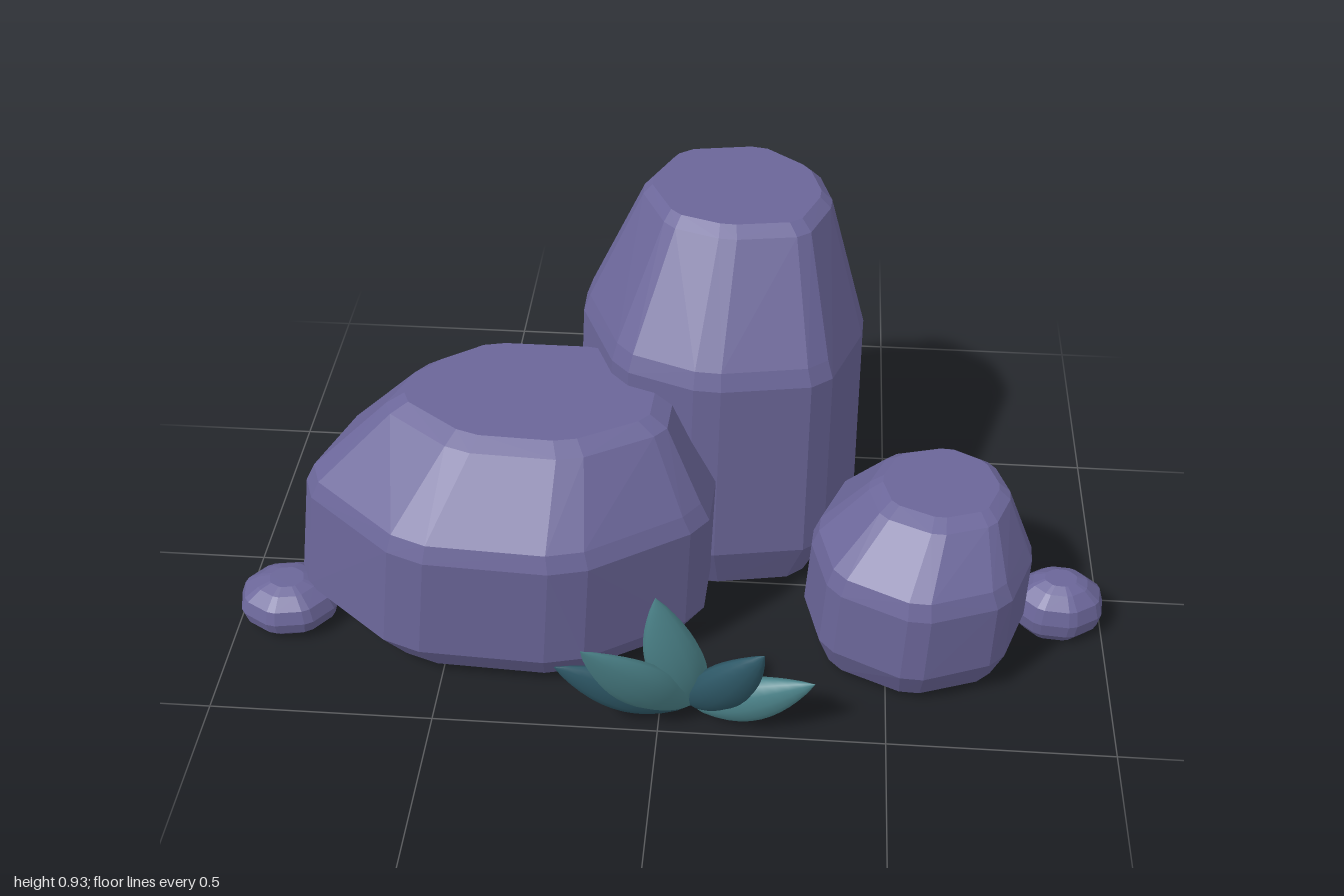
import * as THREE from 'three';
import { ConvexGeometry } from 'three/addons/geometries/ConvexGeometry.js';

const stone = new THREE.MeshStandardMaterial({ color: 0x6b6699 });
stone.name = 'purpleStone';
const lightLeaf = new THREE.MeshStandardMaterial({ color: 0x4d858c });
lightLeaf.name = 'lightTeal';
const darkLeaf = new THREE.MeshStandardMaterial({ color: 0x2f5a69 });
darkLeaf.name = 'darkTeal';

// Cut each corner of a footprint, then normalise it to 0..1 on both axes
function footprint(corners, cut = 0.13) {
  const pts = [];
  corners.forEach((p, i) => {
    const n = corners.length;
    for (const q of [corners[(i + n - 1) % n], corners[(i + 1) % n]]) {
      pts.push([p[0] + (q[0] - p[0]) * cut, p[1] + (q[1] - p[1]) * cut]);
    }
  });
  const range = [0, 1].map((k) => {
    const v = pts.map((p) => p[k]);
    return [Math.min(...v), Math.max(...v)];
  });
  return pts.map((p) => p.map((v, k) => (v - range[k][0]) / (range[k][1] - range[k][0])));
}

// Faceted boulder: one footprint fitted to rings of [y, xMin, xMax, zMin, zMax]
function rock(name, corners, rings) {
  const base = footprint(corners);
  const pts = [];
  for (const [y, x0, x1, z0, z1] of rings) {
    for (const [u, v] of base) pts.push(new THREE.Vector3(x0 + (x1 - x0) * u, y, z0 + (z1 - z0) * v));
  }
  const mesh = new THREE.Mesh(new ConvexGeometry(pts), stone);
  mesh.name = name;
  return mesh;
}

// Small rounded stone made from the same kind of rings
function pebble(name, x, z, rx, rz, height, turn) {
  const corners = [];
  for (let i = 0; i < 8; i++) {
    const a = (i / 8) * Math.PI * 2 + turn;
    corners.push([Math.cos(a), Math.sin(a)]);
  }
  const rings = [[0, 0.7], [0.2, 0.93], [0.45, 1], [0.72, 0.9], [0.92, 0.6], [1, 0.35]]
    .map(([h, s]) => [h * height, x - rx * s, x + rx * s, z - rz * s, z + rz * s]);
  return rock(name, corners, rings);
}

// Plump pointed leaf from base to tip, bowing outward
function leaf(name, tip, material, width, thick) {
  const start = new THREE.Vector3(0.07, 0.015, 0.43);
  const end = new THREE.Vector3(...tip);
  const mid = start.clone().lerp(end, 0.5).add(new THREE.Vector3(0, -0.005, 0.015));
  const curve = new THREE.QuadraticBezierCurve3(start, mid, end);
  const dir = end.clone().sub(start).normalize();
  const side = new THREE.Vector3().crossVectors(dir, new THREE.Vector3(0, 0, 1)).normalize();
  const out = new THREE.Vector3().crossVectors(side, dir).normalize();
  const rows = 12, cols = 12;
  const pos = [], idx = [];
  for (let r = 0; r <= rows; r++) {
    const t = r / rows;
    const s = Math.pow(Math.sin(Math.PI * Math.pow(t, 0.85)), 0.85) || 0;
    const c = curve.getPoint(t);
    for (let k = 0; k < cols; k++) {
      const a = (k / cols) * Math.PI * 2;
      const p = c.clone()
        .addScaledVector(side, Math.cos(a) * s * width / 2)
        .addScaledVector(out, Math.sin(a) * s * thick / 2);
      pos.push(p.x, p.y, p.z);
      if (r < rows) {
        const i = r * cols + k, j = r * cols + (k + 1) % cols;
        idx.push(i, i + cols, j, j, i + cols, j + cols);
      }
    }
  }
  const geo = new THREE.BufferGeometry();
  geo.setAttribute('position', new THREE.Float32BufferAttribute(pos, 3));
  // side, out and dir form a left-handed frame, so this winding faces outward
  const outward = new THREE.Vector3().crossVectors(side, out).dot(dir) < 0;
  if (!outward) for (let i = 0; i < idx.length; i += 3) [idx[i + 1], idx[i + 2]] = [idx[i + 2], idx[i + 1]];
  geo.setIndex(idx);
  geo.computeVertexNormals();
  const mesh = new THREE.Mesh(geo, material);
  mesh.name = name;
  return mesh;
}

export function createModel() {
  const model = new THREE.Group();
  model.name = 'rocksWithPlant';

  // Boulders
  model.add(rock('wideBoulder',
    [[-0.58, -0.27], [-0.13, -0.27], [0.04, -0.16], [0.11, 0.02], [0.1, 0.24], [-0.2, 0.43], [-0.59, 0.41], [-0.88, 0.17], [-0.79, -0.1]],
    [[0, -0.76, 0, -0.16, 0.33], [0.03, -0.79, 0.04, -0.2, 0.37], [0.1, -0.86, 0.09, -0.26, 0.41],
      [0.37, -0.82, 0.1, -0.25, 0.42], [0.41, -0.8, 0.08, -0.24, 0.405],
      [0.565, -0.63, 0.0, -0.14, 0.27], [0.585, -0.59, -0.04, -0.12, 0.23]]));
  model.add(rock('tallBoulder',
    [[-0.15, -0.56], [0.17, -0.62], [0.37, -0.44], [0.43, -0.21], [0.34, 0.04], [0.06, 0.09], [-0.15, 0.01], [-0.27, -0.27]],
    [[0, -0.14, 0.33, -0.5, 0], [0.025, -0.17, 0.36, -0.53, 0.03], [0.15, -0.25, 0.42, -0.6, 0.08],
      [0.62, -0.225, 0.415, -0.57, 0.08], [0.66, -0.21, 0.4, -0.56, 0.065],
      [0.905, -0.09, 0.33, -0.48, -0.09], [0.925, -0.07, 0.305, -0.46, -0.12]]));
  model.add(rock('smallBoulder',
    [[0.38, -0.09], [0.6, -0.16], [0.76, -0.06], [0.82, 0.14], [0.75, 0.34], [0.55, 0.42], [0.35, 0.32], [0.3, 0.12]],
    [[0, 0.37, 0.75, -0.06, 0.33], [0.02, 0.34, 0.78, -0.08, 0.36], [0.1, 0.31, 0.81, -0.135, 0.4],
      [0.27, 0.32, 0.81, -0.11, 0.4], [0.31, 0.335, 0.79, -0.095, 0.385],
      [0.41, 0.44, 0.75, -0.03, 0.27], [0.425, 0.47, 0.725, -0.01, 0.23]]));

  // Pebbles
  model.add(pebble('leftPebble', -0.885, 0.19, 0.115, 0.1, 0.115, 0.2));
  model.add(pebble('rightPebble', 0.895, 0.085, 0.105, 0.085, 0.14, 0.5));

  // Plant
  const plant = new THREE.Group();
  plant.name = 'plant';
  plant.add(
    leaf('middleLeaf', [0, 0.415, 0.52], lightLeaf, 0.13, 0.07),
    leaf('frontLeftLeaf', [-0.15, 0.328, 0.6], lightLeaf, 0.13, 0.07),
    leaf('lowLeftLeaf', [-0.22, 0.2, 0.52], darkLeaf, 0.12, 0.06),
    leaf('upperRightLeaf', [0.23, 0.3, 0.555], darkLeaf, 0.12, 0.07),
    leaf('lowRightLeaf', [0.34, 0.17, 0.5], lightLeaf, 0.12, 0.07),
  );
  model.add(plant);
  return model;
}
